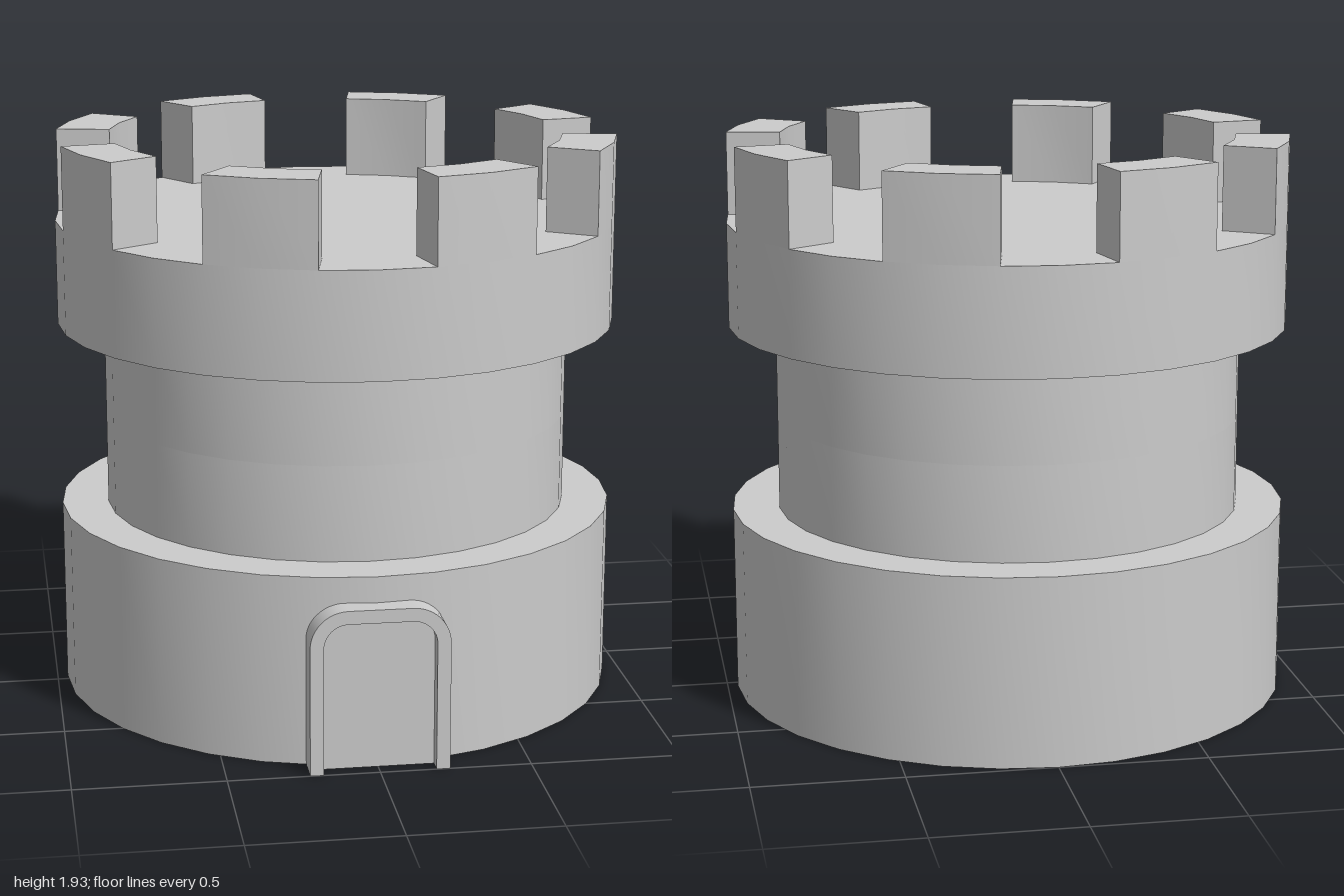
import * as THREE from 'three';
import { toCreasedNormals } from 'three/addons/utils/BufferGeometryUtils.js';

const SIDES = 32;
const R = 0.965;        // base and parapet radius
const R_SHAFT = 0.805;
const R_INNER = 0.78;   // inner face of the battlements

const stone = new THREE.MeshStandardMaterial({ color: 0xcccccc });
const shell = new THREE.MeshStandardMaterial({ color: 0xcccccc, side: THREE.DoubleSide });
const paleStone = new THREE.MeshStandardMaterial({ color: 0xdadada });

function part(name, geometry, material) {
  const mesh = new THREE.Mesh(toCreasedNormals(geometry, 0.6), material);
  mesh.name = name;
  return mesh;
}

// Round part turned from a profile of [radius, height] points, bottom to top
function turned(name, profile, material) {
  const points = profile.map(([r, y]) => new THREE.Vector2(r, y));
  return part(name, new THREE.LatheGeometry(points, SIDES), material);
}

// Curved battlement block, two wall facets wide
function merlonGeometry(height) {
  const step = (Math.PI * 2) / SIDES;
  const at = (r, i) => new THREE.Vector2(r * Math.cos(i * step), r * Math.sin(i * step));
  const shape = new THREE.Shape([
    ...[1, 2, 3].map((i) => at(R, i)),
    ...[3, 2, 1].map((i) => at(R_INNER, i)),
  ]);
  const g = new THREE.ExtrudeGeometry(shape, { depth: height, bevelEnabled: false });
  return g.rotateX(-Math.PI / 2);
}

// Adds a doorway outline with rounded top corners, from bottom right to bottom left
function arch(shape, halfWidth, top, radius) {
  const c = halfWidth - radius;
  shape.lineTo(halfWidth, top - radius);
  shape.absarc(c, top - radius, radius, 0, Math.PI / 2, false);
  shape.lineTo(-c, top);
  shape.absarc(-c, top - radius, radius, Math.PI / 2, Math.PI, false);
  shape.lineTo(-halfWidth, 0);
  return shape;
}

function extruded(shape, z0, z1) {
  const options = { depth: z1 - z0, bevelEnabled: false, curveSegments: 6 };
  return new THREE.ExtrudeGeometry(shape, options).translate(0, 0, z0);
}

function createDoor() {
  const door = new THREE.Group();
  door.name = 'door';

  const panel = arch(new THREE.Shape().moveTo(0.185, 0), 0.185, 0.512, 0.08);
  door.add(part('doorPanel', extruded(panel, 0.9, 0.95), stone));

  // Frame: outer arch, then back along the inner arch
  const inner = arch(new THREE.Shape().moveTo(0.185, 0), 0.185, 0.512, 0.08);
  const frame = arch(new THREE.Shape().moveTo(0.23, 0), 0.23, 0.557, 0.125);
  inner.getPoints(6).reverse().forEach((p) => frame.lineTo(p.x, p.y));
  door.add(part('doorFrame', extruded(frame, 0.9, 1.0), paleStone));
  return door;
}

export function createModel() {
  const model = new THREE.Group();
  model.name = 'castleTower';

  const tower = new THREE.Group();
  tower.name = 'tower';
  tower.position.z = -0.035;
  model.add(tower);

  // Hollow base, open underneath
  tower.add(turned('base', [[R, 0], [R, 0.645], [0, 0.645]], shell));

  // Shaft in two courses
  tower.add(turned('lowerShaft', [[R_SHAFT, 0.645], [R_SHAFT, 0.97]], paleStone));
  tower.add(turned('upperShaft', [[R_SHAFT, 0.97], [R_SHAFT, 1.29]], stone));

  // Overhanging parapet with a closed roof deck
  tower.add(turned('parapet', [[0, 1.29], [R, 1.29], [R, 1.65], [0, 1.65]], stone));

  // Ring of eight battlements
  const merlon = merlonGeometry(0.285);
  for (let i = 0; i < 8; i++) {
    const block = part('merlon', merlon, stone);
    block.position.y = 1.65;
    block.rotation.y = (i * Math.PI) / 4;
    tower.add(block);
  }

  model.add(createDoor());
  return model;
}
